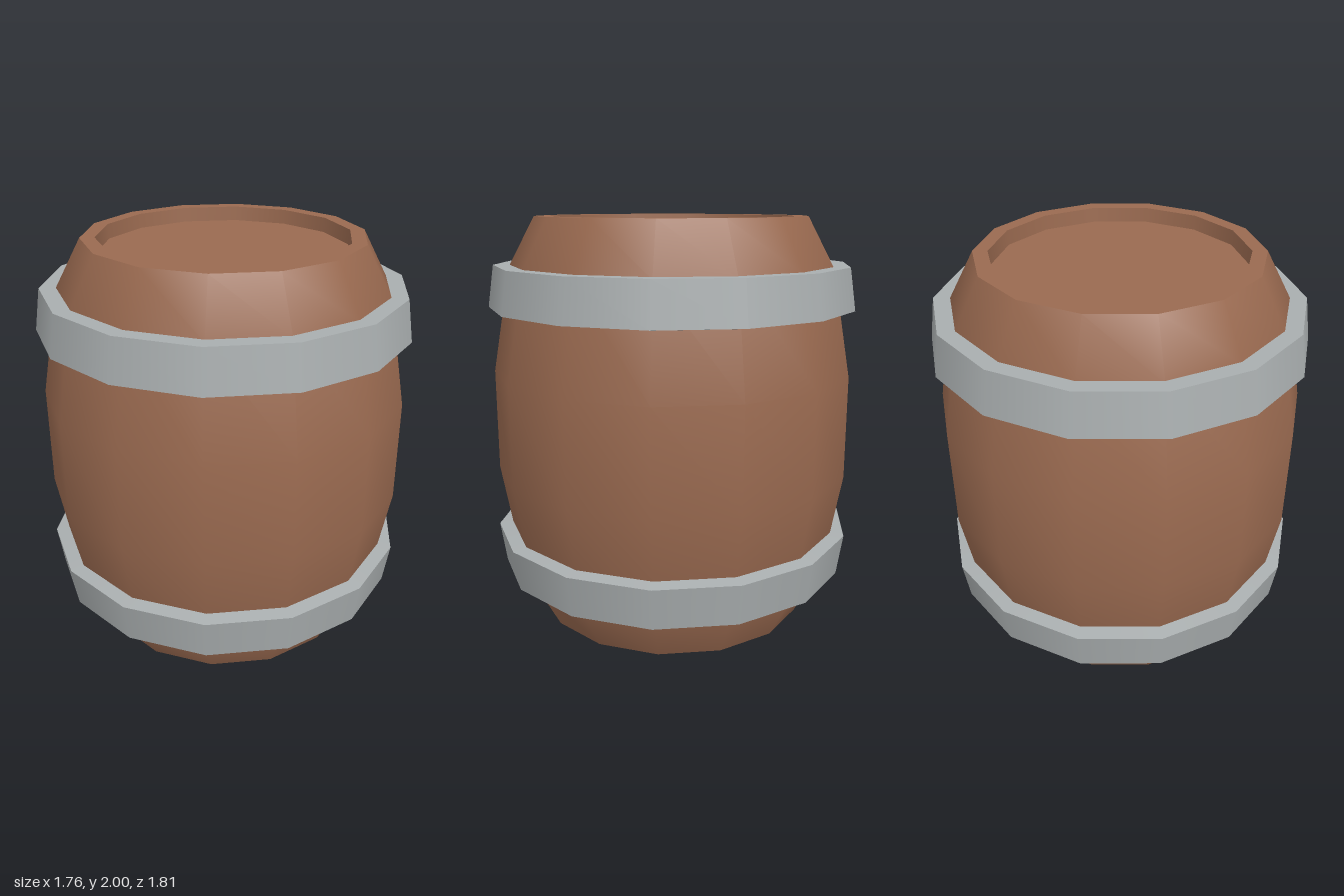
import * as THREE from 'three';
import { mergeGeometries } from 'three/addons/utils/BufferGeometryUtils.js';

const SIDES = 14;

// Revolves each profile strip separately, so strips are smooth and meet at sharp edges.
function revolve(strips) {
  return mergeGeometries(strips.map((strip) =>
    new THREE.LatheGeometry(strip.map(([r, y]) => new THREE.Vector2(r, y)), SIDES)));
}

// Joins consecutive corners into sharp-edged strips.
function sharp(points) {
  return points.slice(1).map((p, i) => [points[i], p]);
}

export function createModel() {
  const wood = new THREE.MeshStandardMaterial({ name: 'brown wood', color: 0x9a6a50 });
  const metal = new THREE.MeshStandardMaterial({ name: 'grey metal', color: 0xa9aeaf });
  const group = new THREE.Group();
  group.name = 'barrel';

  const add = (name, strips, material) => {
    const mesh = new THREE.Mesh(revolve(strips), material);
    mesh.name = name;
    group.add(mesh);
  };

  // Bulging staves
  add('staves', [[[0.67, 0], [0.8, 0.24], [0.89, 0.75], [0.89, 1.25], [0.8, 1.76], [0.67, 2]]], wood);

  // Rims with recessed lids at both ends
  add('topLid', sharp([[0.67, 2], [0.6, 2], [0.595, 1.93], [0, 1.93]]), wood);
  add('bottomLid', sharp([[0, 0.07], [0.595, 0.07], [0.6, 0], [0.67, 0]]), wood);

  // Hoops, mirrored about mid-height and wider towards the middle
  const hoop = [[0.82, 1.555], [0.905, 1.568], [0.875, 1.77], [0.78, 1.77]];
  add('upperHoop', sharp(hoop), metal);
  add('lowerHoop', sharp(hoop.map(([r, y]) => [r, 2.008 - y]).reverse()), metal);

  return group;
}
